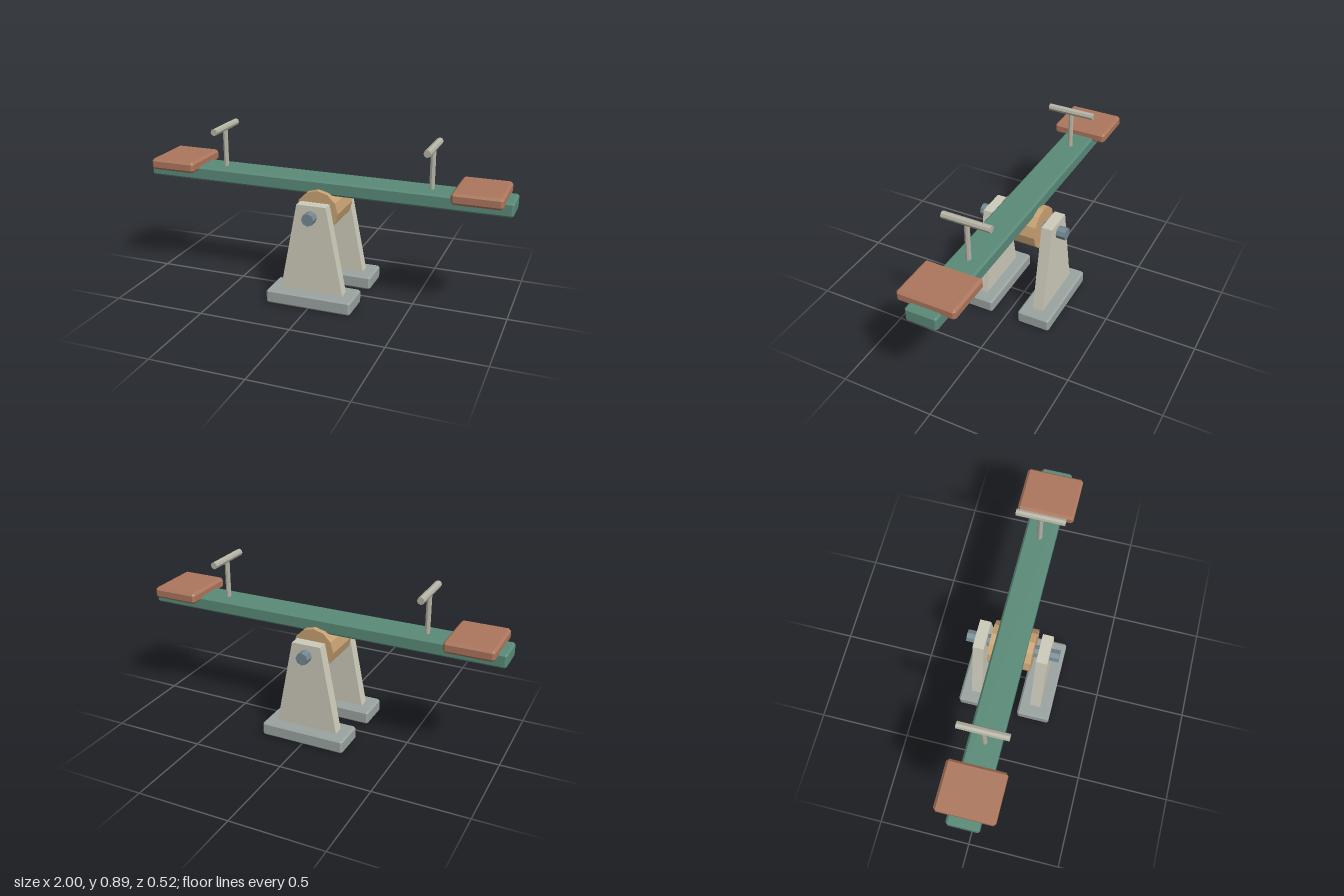
import * as THREE from 'three';
import { ConvexGeometry } from 'three/addons/geometries/ConvexGeometry.js';

const paint = (color) => new THREE.MeshStandardMaterial({ color, flatShading: true });
const green = paint(0x5a8a78);
const clay = paint(0xac765c);
const tan = paint(0xc8a273);
const stone = paint(0xcccab9);
const concrete = paint(0x9aa3a0);
const steel = paint(0x748891);
const metal = paint(0xb5b3a4);

// Box with every edge and corner chamfered by c
function chamferBox(w, h, d, c) {
  const points = [];
  for (const sx of [-1, 1]) for (const sy of [-1, 1]) for (const sz of [-1, 1]) {
    const [x, y, z] = [w / 2, h / 2, d / 2];
    points.push(
      new THREE.Vector3(sx * x, sy * (y - c), sz * (z - c)),
      new THREE.Vector3(sx * (x - c), sy * y, sz * (z - c)),
      new THREE.Vector3(sx * (x - c), sy * (y - c), sz * z),
    );
  }
  return new ConvexGeometry(points);
}

// Cylinder lying along z
function rodZ(radius, length, sides) {
  return new THREE.CylinderGeometry(radius, radius, length, sides).rotateX(Math.PI / 2);
}

export function createModel() {
  const model = new THREE.Group();
  model.name = 'seesaw';

  const add = (name, geometry, material, x, y, z) => {
    const mesh = new THREE.Mesh(geometry, material);
    mesh.name = name;
    mesh.position.set(x, y, z);
    model.add(mesh);
  };

  // Plank, pivot drum and axle
  add('plank', chamferBox(2, 0.076, 0.168, 0.01), green, 0, 0.617, 0);
  add('pivotDrum', rodZ(0.115, 0.23, 12), tan, 0, 0.495, 0);
  add('axle', rodZ(0.034, 0.5, 8), steel, 0, 0.495, 0);

  // Seat and T-shaped handle at each end
  for (const [side, s] of [['left', 1], ['right', -1]]) {
    add(side + 'Seat', chamferBox(0.256, 0.06, 0.308, 0.013), clay, s * 0.83, 0.664, 0);
    add(side + 'HandlePost', new THREE.CylinderGeometry(0.014, 0.014, 0.23, 8), metal, s * 0.576, 0.755, 0);
    add(side + 'HandleBar', rodZ(0.019, 0.26, 8), metal, s * 0.576, 0.87, 0);
  }

  // Tapered support with a footing, at front and back
  const taper = new THREE.Shape([
    new THREE.Vector2(-0.174, 0.07),
    new THREE.Vector2(0.174, 0.07),
    new THREE.Vector2(0.08, 0.555),
    new THREE.Vector2(-0.08, 0.555),
  ]);
  for (const [side, s] of [['front', 1], ['back', -1]]) {
    const support = new THREE.ExtrudeGeometry(taper, { depth: 0.06, bevelEnabled: false });
    support.translate(0, 0, -0.03);
    add(side + 'Support', support, stone, 0, 0, s * 0.17);
    add(side + 'Footing', chamferBox(0.472, 0.076, 0.184, 0.01), concrete, 0, 0.038, s * 0.17);
  }

  return model;
}
